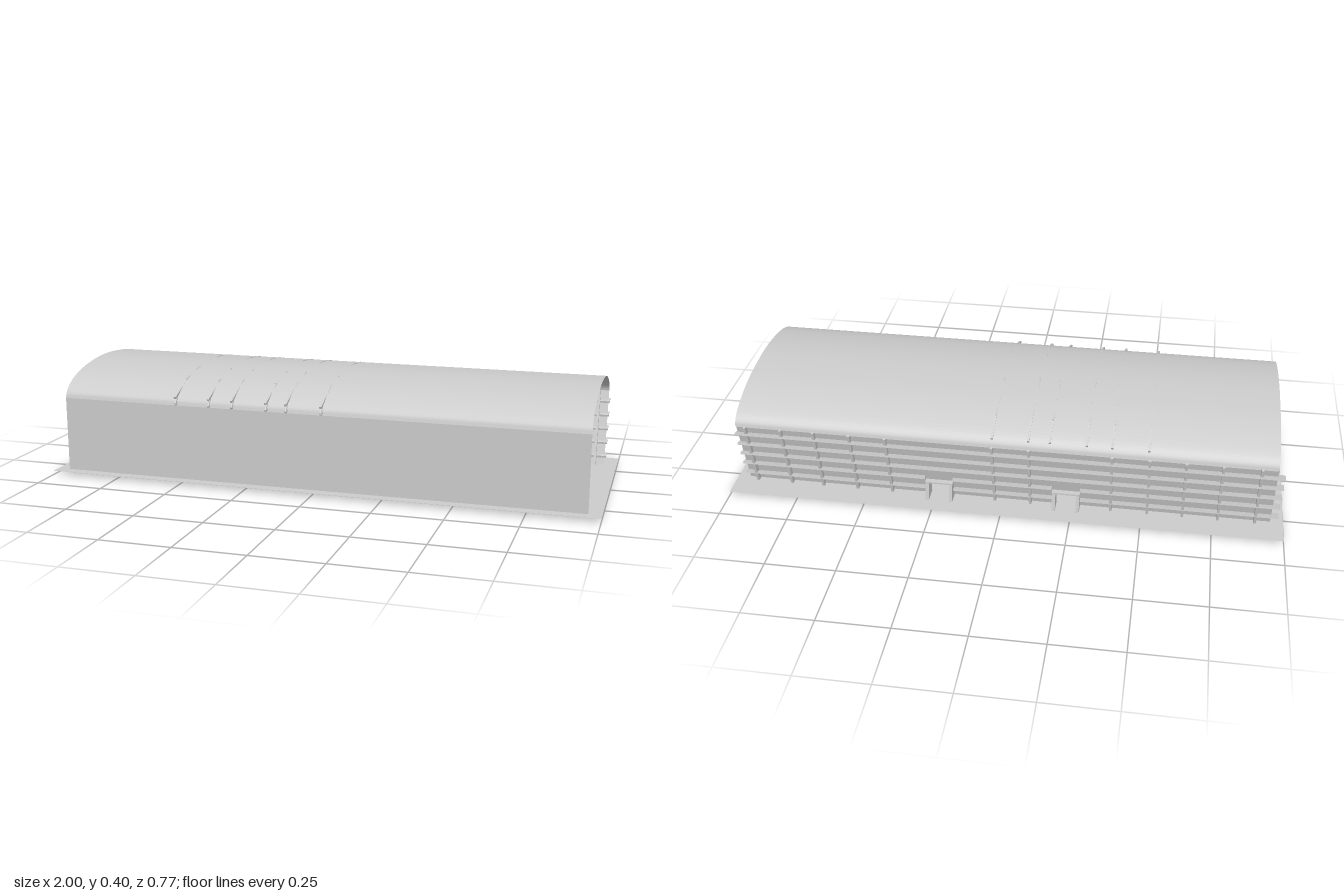
import * as THREE from 'three';

export function createModel() {
  const model = new THREE.Group();
  const grey = new THREE.MeshStandardMaterial({ color: 0xcccccc, side: THREE.DoubleSide });
  const FLOOR = 0.014, HALF = 0.955;

  const add = (geo, name, parent = model) => {
    const m = new THREE.Mesh(geo, grey);
    m.name = name;
    parent.add(m);
    return m;
  };
  const box = (name, w, h, d, x, y, z, parent) => {
    const m = add(new THREE.BoxGeometry(w, h, d), name, parent);
    m.position.set(x, y, z);
    return m;
  };
  const group = (name) => {
    const g = new THREE.Group();
    g.name = name;
    model.add(g);
    return g;
  };
  // Straight bar between two [z, y] points in the plane at x
  const strut = (name, x, a, b, w, h, parent) => {
    const dz = b[0] - a[0], dy = b[1] - a[1];
    const m = box(name, w, h, Math.hypot(dz, dy), x, (a[1] + b[1]) / 2, (a[0] + b[0]) / 2, parent);
    m.rotation.x = -Math.atan2(dy, dz);
    return m;
  };
  // Flat plate with a [z, y] outline, thickness t along x
  const plate = (name, x, t, pts, parent) => {
    const shape = new THREE.Shape(pts.map(([z, y]) => new THREE.Vector2(-z, y)));
    const geo = new THREE.ExtrudeGeometry(shape, { depth: t, bevelEnabled: false });
    geo.translate(0, 0, -t / 2).rotateY(Math.PI / 2);
    return add(geo, name, parent).position.x = x;
  };

  // Ground slab
  const ground = add(new THREE.PlaneGeometry(2, 0.77), 'ground');
  ground.rotation.x = -Math.PI / 2;
  ground.position.y = FLOOR;

  // Front wall
  add(new THREE.PlaneGeometry(2 * HALF, 0.286), 'frontWall').position.set(0, 0.143, 0.345);

  // Curved roof: a smooth profile swept along x
  const profile = new THREE.CatmullRomCurve3([
    [0.345, 0.285], [0.338, 0.306], [0.31, 0.333], [0.25, 0.362], [0.14, 0.386], [0.02, 0.395],
    [-0.1, 0.388], [-0.18, 0.377], [-0.26, 0.355], [-0.33, 0.322], [-0.35, 0.3], [-0.355, 0.283],
  ].map(([z, y]) => new THREE.Vector3(0, y, z)));
  const N = 48;
  const roof = new THREE.PlaneGeometry(2 * HALF, 1, 1, N);
  const pos = roof.attributes.position;
  for (let i = 0; i < pos.count; i++) {
    const p = profile.getPoint(1 - Math.floor(i / 2) / N);
    pos.setXYZ(i, pos.getX(i), p.y, p.z);
  }
  roof.computeVertexNormals();
  add(roof, 'roof');

  // Leaning back wall with two doorways
  const leanZ = (y) => -0.274 - 0.076 * (y / 0.287);
  const wallShape = new THREE.Shape();
  wallShape.moveTo(-HALF, 0);
  for (const c of [-0.23, 0.23]) {
    wallShape.lineTo(c - 0.04, 0);
    wallShape.lineTo(c - 0.04, 0.085);
    wallShape.lineTo(c + 0.04, 0.085);
    wallShape.lineTo(c + 0.04, 0);
  }
  wallShape.lineTo(HALF, 0);
  wallShape.lineTo(HALF, 0.287);
  wallShape.lineTo(-HALF, 0.287);
  const wallGeo = new THREE.ShapeGeometry(wallShape);
  const wp = wallGeo.attributes.position;
  for (let i = 0; i < wp.count; i++) wp.setZ(i, leanZ(wp.getY(i)));
  wallGeo.computeVertexNormals();
  add(wallGeo, 'backWall');

  // Leaning posts
  const posts = group('backPosts');
  for (const x of [0.92, 0.79, 0.67, 0.54, 0.41, 0.03, -0.1, -0.39, -0.52, -0.645, -0.77, -0.9])
    plate('backPost', x, 0.009, [[-0.255, 0.004], [-0.294, 0], [-0.365, 0.285], [-0.334, 0.289]], posts);

  // Horizontal rails; the lower ones stop at the doorways
  const rails = group('backRails');
  const rail = (a, b, y) => {
    box('backRail', b - a, 0.007, 0.034, (a + b) / 2, y, leanZ(y) - 0.003, rails).rotation.x = 0.2;
  };
  for (const y of [0.05, 0.1, 0.15, 0.2, 0.25]) {
    if (y < 0.12) {
      rail(-0.98, -0.28, y);
      rail(-0.18, 0.18, y);
      rail(0.28, 0.96, y);
    } else rail(-0.98, 0.96, y);
  }

  // Doorway cheeks and lintels
  const doors = group('doorways');
  for (const c of [-0.23, 0.23]) {
    for (const s of [-1, 1])
      plate('doorCheek', c + s * 0.043, 0.012, [[-0.265, 0.002], [-0.33, 0.002], [-0.317, 0.08], [-0.275, 0.08]], doors);
    box('doorLintel', 0.1, 0.006, 0.04, c, 0.083, -0.297, doors);
  }

  // Arched roof trusses
  const top = [[0.353, 0.315], [0.243, 0.362], [0.135, 0.384], [0.03, 0.391], [-0.07, 0.389], [-0.17, 0.376], [-0.26, 0.355], [-0.345, 0.314]];
  const low = [[0.353, 0.291], [0.243, 0.324], [0.135, 0.342], [0.03, 0.349], [-0.07, 0.346], [-0.17, 0.333], [-0.26, 0.313], [-0.345, 0.289]];
  const at = (pts, t) => {
    const i = Math.min(Math.floor(t), pts.length - 2), f = t - i;
    return [0, 1].map((k) => pts[i][k] + (pts[i + 1][k] - pts[i][k]) * f);
  };
  for (const x of [-0.515, -0.388, -0.3, -0.172, -0.098, 0.03]) {
    const truss = group('roofTruss');
    for (let i = 0; i < 7; i++) {
      strut('topChord', x, top[i], top[i + 1], 0.008, 0.008, truss);
      strut('bottomChord', x, low[i], low[i + 1], 0.008, 0.008, truss);
    }
    for (let k = 0; k < 26; k++) {
      const t = (k * 7) / 26, u = ((k + 1) * 7) / 26;
      strut('web', x, at(k % 2 ? top : low, t), at(k % 2 ? low : top, u), 0.005, 0.005, truss);
    }
  }

  // Kiosk
  const kiosk = group('kiosk');
  box('kioskBody', 0.12, 0.062, 0.178, -0.37, 0.044, 0.141, kiosk);
  box('kioskRoof', 0.124, 0.031, 0.182, -0.37, 0.091, 0.14, kiosk);
  box('kioskCounter', 0.1, 0.03, 0.022, -0.37, 0.031, 0.221, kiosk);

  // Benches
  const benches = group('benches');
  for (const x of [-0.36, -0.2, -0.05])
    for (let i = 0; i < 4; i++) {
      const z = 0.04 - i * 0.022;
      box('benchSeat', 0.06, 0.003, 0.014, x, 0.022, z - 0.004, benches);
      box('benchBack', 0.06, 0.014, 0.002, x, 0.028, z + 0.004, benches);
      for (const s of [-0.025, 0.025]) box('benchLeg', 0.003, 0.009, 0.012, x + s, 0.018, z - 0.004, benches);
    }

  // Signal masts
  const masts = group('signalMasts');
  for (const [x, z] of [[-0.14, -0.1], [-0.36, -0.175]]) {
    add(new THREE.CylinderGeometry(0.0035, 0.0035, 0.094, 8), 'mast', masts).position.set(x, 0.061, z);
    box('mastHead', 0.02, 0.01, 0.021, x, 0.098, z, masts);
    box('mastArm', 0.005, 0.004, 0.014, x, 0.063, z, masts);
  }
  box('marker', 0.02, 0.04, 0.004, -0.14, 0.034, -0.072, masts);
  box('ticketPost', 0.008, 0.052, 0.006, -0.14, 0.041, -0.116, masts);
  add(new THREE.SphereGeometry(0.006, 12, 8), 'ticketLamp', masts).position.set(-0.14, 0.06, -0.125);

  return model;
}
